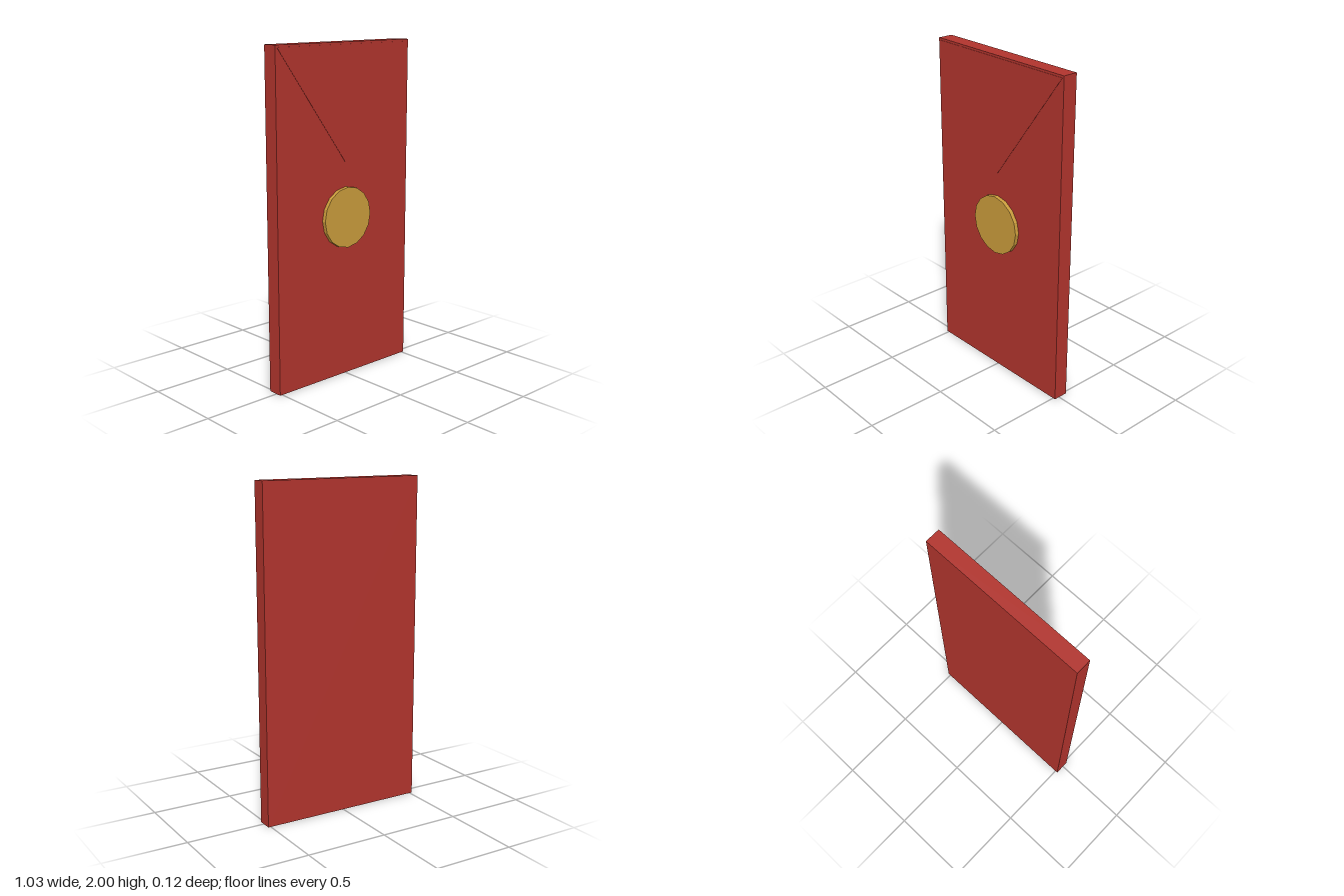
import * as THREE from 'three';

export function createModel() {
  const model = new THREE.Group();
  model.name = 'envelope';

  const red = new THREE.MeshStandardMaterial({ color: 0xb0342d });
  red.name = 'red paper';
  const gold = new THREE.MeshStandardMaterial({ color: 0xc99b3b, flatShading: true });
  gold.name = 'gold seal';

  const add = (name, geometry, material, x, y, z) => {
    const mesh = new THREE.Mesh(geometry, material);
    mesh.name = name;
    mesh.position.set(x, y, z);
    model.add(mesh);
  };

  const back = -0.058, front = 0.034, sealFront = 0.058;

  // Flat packet body
  add('body', new THREE.BoxGeometry(1.032, 2, front - back), red, 0, 1, (front + back) / 2);

  // Thin triangular flap on the front
  const flap = new THREE.Shape([
    new THREE.Vector2(-0.505, 1.987),
    new THREE.Vector2(0, 1.305),
    new THREE.Vector2(0.505, 1.987),
  ]);
  add('flap', new THREE.ExtrudeGeometry(flap, { depth: 0.003, bevelEnabled: false }), red, 0, 0, front - 0.001);

  // Sixteen-sided round seal
  const seal = new THREE.CylinderGeometry(0.182, 0.182, sealFront - front, 16).rotateX(Math.PI / 2);
  add('seal', seal, gold, 0, 0.98, (front + sealFront) / 2);

  return model;
}
